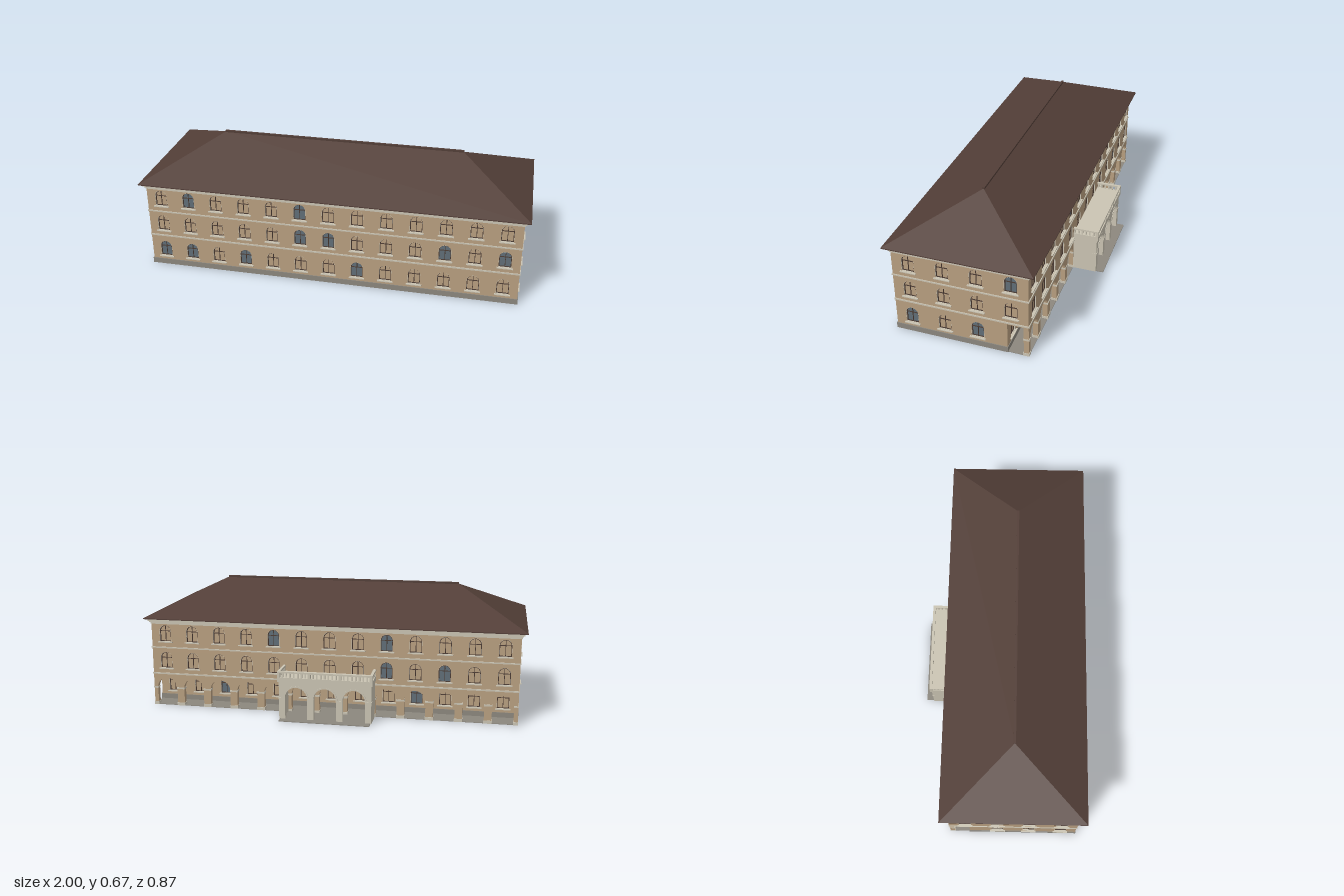
import * as THREE from 'three';
import { ConvexGeometry } from 'three/addons/geometries/ConvexGeometry.js';

const mat = (name, color, side = THREE.FrontSide) => {
  const m = new THREE.MeshStandardMaterial({ color, side });
  m.name = name;
  return m;
};
const M = {
  wall: mat('tan render', 0xb89f80, THREE.DoubleSide),
  stone: mat('pale stone', 0xcac4b3, THREE.DoubleSide),
  plinth: mat('grey stone', 0x8c877e),
  roof: mat('brown roof', 0x523e37),
  frame: mat('dark frame', 0x4b3b33, THREE.DoubleSide),
  glass: mat('blue glass', 0x606e77, THREE.DoubleSide),
};

// Main dimensions
const HX = 0.97, ZF = 0.402, ZB = -0.27, ZI = -0.165, TOP = 0.465, CEIL = 0.165;
const BAY = 0.149, BAYS = 13, ROWS = [0.05, 0.207, 0.353];
const WIN_R = 0.032, WIN_SPRING = 0.057;
const bayX = Array.from({ length: BAYS }, (_, i) => (i - 6) * BAY);

function add(parent, name, geo, material) {
  const mesh = new THREE.Mesh(geo, material);
  mesh.name = name;
  parent.add(mesh);
  return mesh;
}
// Box given by its lower and upper limits on each axis
function box(parent, name, material, x0, x1, y0, y1, z0, z1) {
  const m = add(parent, name, new THREE.BoxGeometry(x1 - x0, y1 - y0, z1 - z0), material);
  m.position.set((x0 + x1) / 2, (y0 + y1) / 2, (z0 + z1) / 2);
  return m;
}
function group(parent, name) {
  const g = new THREE.Group();
  g.name = name;
  parent.add(g);
  return g;
}
// Round-headed opening standing on (x, y)
function archTo(p, x, y, r, spring) {
  p.moveTo(x - r, y);
  p.lineTo(x + r, y);
  p.lineTo(x + r, y + spring);
  p.absarc(x, y + spring, r, 0, Math.PI, false);
  p.lineTo(x - r, y);
  return p;
}
function extrude(shape, depth, front = 0) {
  return new THREE.ExtrudeGeometry(shape, { depth, bevelEnabled: false, curveSegments: 10 })
    .translate(0, 0, front - depth);
}
function archRing(outer, inner, spring, depth, front) {
  const s = archTo(new THREE.Shape(), 0, 0, outer, spring);
  s.holes.push(archTo(new THREE.Path(), 0, outer - inner, inner, spring - outer + inner));
  return extrude(s, depth, front);
}
// Wall outline whose bottom edge is cut by open arches
function arcadeShape(half, height, centres, r, spring) {
  const s = new THREE.Shape();
  s.moveTo(-half, 0);
  for (const x of centres) {
    s.lineTo(x - r, 0);
    s.lineTo(x - r, spring);
    s.absarc(x, spring, r, Math.PI, 0, true);
    s.lineTo(x + r, 0);
  }
  s.lineTo(half, 0);
  s.lineTo(half, height);
  s.lineTo(-half, height);
  return s;
}

// Shared window parts
const paneGeo = new THREE.ShapeGeometry(archTo(new THREE.Shape(), 0, 0, WIN_R, WIN_SPRING), 10);
const liningGeo = archRing(WIN_R, WIN_R - 0.001, WIN_SPRING, 0.012, -0.0005);
const frameGeo = archRing(WIN_R - 0.0005, WIN_R - 0.0045, WIN_SPRING, 0.004, -0.006);

function addWindow(parent, x, y, glazed) {
  const w = group(parent, 'window');
  w.position.set(x, y, 0);
  add(w, 'pane', paneGeo, glazed ? M.glass : M.wall).position.z = -0.011;
  add(w, 'reveal', liningGeo, M.stone);
  add(w, 'frame', frameGeo, M.frame);
  box(w, 'mullion', M.frame, -0.0015, 0.0015, 0, WIN_SPRING + WIN_R - 0.002, -0.01, -0.006);
  box(w, 'transom', M.frame, -WIN_R, WIN_R, WIN_SPRING - 0.0015, WIN_SPRING + 0.0015, -0.01, -0.006);
  box(w, 'sill', M.stone, -0.04, 0.04, -0.005, 0, -0.01, 0.009);
}

// Wall with recessed windows; windows are [x, row, glazed]
function facade(parent, name, shape, windows, depth = 0.015) {
  const g = group(parent, name);
  for (const [x, row] of windows) {
    shape.holes.push(archTo(new THREE.Path(), x, ROWS[row], WIN_R, WIN_SPRING));
  }
  add(g, 'wall', extrude(shape, depth), M.wall);
  for (const w of windows) addWindow(g, w[0], ROWS[w[1]], w[2]);
  return g;
}
const rowOf = (xs, row, glazed = []) => xs.map((x, i) => [x, row, glazed.includes(i)]);

// Moulding running around all four sides
function course(parent, name, y0, y1, out, material = M.stone) {
  const g = group(parent, name), x = HX + out, t = out + 0.01;
  box(g, 'front length', material, -x, x, y0, y1, ZF - 0.01, ZF + out);
  box(g, 'back length', material, -x, x, y0, y1, ZB - out, ZB + 0.01);
  for (const s of [-1, 1]) {
    box(g, 'side length', material, s * (x - t / 2) - t / 2, s * (x - t / 2) + t / 2, y0, y1, ZB - out, ZF + out);
  }
}

function addPorch(parent) {
  const g = group(parent, 'porch');
  const X = 0.24, Z = -0.395, H = 0.2, xs = [-0.15, 0, 0.15], r = 0.058, spring = 0.115;
  const front = group(g, 'porchFront');
  front.position.z = Z;
  front.rotation.y = Math.PI;
  add(front, 'archedWall', extrude(arcadeShape(X, H, xs, r, spring), 0.022), M.stone);
  for (const x of xs) {
    const s = new THREE.Shape();
    s.absarc(0, 0, r + 0.008, 0, Math.PI, false);
    s.absarc(0, 0, r, Math.PI, 0, true);
    add(front, 'archMoulding', extrude(s, 0.003, 0.0025), M.stone).position.set(x, spring, 0);
  }
  for (const x of [-0.225, -0.075, 0.075, 0.225]) {
    box(front, 'impost', M.stone, x - 0.017, x + 0.017, spring - 0.007, spring, -0.023, 0.003);
  }
  for (const s of [-1, 1]) {
    box(g, 'porchSide', M.stone, s * 0.231 - 0.009, s * 0.231 + 0.009, 0, H, Z, ZB);
  }
  box(g, 'porchDeck', M.stone, -0.246, 0.246, H, 0.225, -0.403, ZB);
  box(g, 'porchStep', M.plinth, -0.235, 0.235, 0, 0.004, -0.435, ZB);

  // Balustrade on three sides
  const b = group(g, 'balustrade'), y0 = 0.225, y1 = 0.248, top = 0.257;
  const post = (x, z, h) => box(b, 'baluster', M.stone, x - h, x + h, y0, y1, z - h, z + h);
  box(b, 'frontRail', M.stone, -0.246, 0.246, y1, top, -0.403, -0.389);
  for (let i = 0; i <= 24; i++) post(-0.239 + i * 0.478 / 24, -0.396, i % 8 ? 0.0035 : 0.007);
  for (const s of [-1, 1]) {
    box(b, 'sideRail', M.stone, s * 0.239 - 0.007, s * 0.239 + 0.007, y1, top, -0.403, ZB);
    for (let i = 1; i <= 6; i++) post(s * 0.239, -0.396 + i * 0.02, 0.0035);
  }
}

export function createModel() {
  const model = new THREE.Group();
  model.name = 'arcadedBuilding';

  // Front wall
  const rect = (h) => arcadeShape(HX, h, [], 0, 0);
  const front = facade(model, 'frontFacade', rect(TOP), [
    ...rowOf(bayX, 0, [0, 1, 3, 7]), ...rowOf(bayX, 1, [5, 6, 10, 12]), ...rowOf(bayX, 2, [1, 5])]);
  front.position.z = ZF;

  // Back wall over the arcade, and the wall sheltered behind it
  const back = facade(model, 'backFacade', arcadeShape(HX, TOP, bayX, 0.055, 0.097), [
    ...rowOf(bayX, 1, [8, 10]), ...rowOf(bayX, 2, [4, 8])], 0.025);
  back.position.z = ZB;
  back.rotation.y = Math.PI;
  const inner = facade(model, 'arcadeInnerWall', rect(CEIL), rowOf(bayX, 0, [2, 9]));
  inner.position.z = ZI;
  inner.rotation.y = Math.PI;

  // End walls, stepped over the arcade passage
  for (const s of [1, -1]) {
    const pts = [[ZF, 0], [ZI, 0], [ZI, CEIL], [ZB, CEIL], [ZB, TOP], [ZF, TOP]];
    const shape = new THREE.Shape(pts.map(([z, y]) => new THREE.Vector2(-s * z, y)));
    const xs = [0.32, 0.15, -0.017, -0.185].map((z) => -s * z);
    const end = facade(model, s > 0 ? 'leftEnd' : 'rightEnd', shape, [
      ...rowOf(xs.slice(0, 3), 0, s > 0 ? [0, 2] : []), ...rowOf(xs, 1), ...rowOf(xs, 2, s > 0 ? [3] : [])]);
    end.position.x = s * HX;
    end.rotation.y = s * Math.PI / 2;
    box(model, 'endPlinth', M.plinth, s * HX - 0.004, s * HX + 0.004, 0, 0.03, ZI - 0.003, ZF + 0.004);
  }
  box(model, 'frontPlinth', M.plinth, -HX, HX, 0, 0.03, ZF - 0.004, ZF + 0.004);
  box(model, 'innerPlinth', M.plinth, -HX, HX, 0, 0.03, ZI - 0.003, ZI + 0.004);

  // Arcade floor, ceiling, pier bases and imposts
  box(model, 'arcadeFloor', M.plinth, -HX, HX, 0, 0.003, ZB, ZI);
  box(model, 'arcadeCeiling', M.wall, -HX + 0.002, HX - 0.002, CEIL, CEIL + 0.004, ZB + 0.02, ZI + 0.015);
  for (let i = 0; i <= BAYS; i++) {
    const x0 = i === 0 ? -HX - 0.002 : (i - 6.5) * BAY - 0.0215;
    const x1 = i === BAYS ? HX + 0.002 : (i - 6.5) * BAY + 0.0215;
    box(model, 'pierImpost', M.stone, x0, x1, 0.092, 0.101, ZB - 0.003, ZB + 0.028);
    box(model, 'pierBase', M.stone, x0, x1, 0, 0.016, ZB - 0.003, ZB + 0.028);
  }

  // String courses and cornice
  course(model, 'lowerCourse', 0.172, 0.18, 0.004);
  course(model, 'upperCourse', 0.317, 0.324, 0.004);
  course(model, 'corniceBed', 0.449, 0.458, 0.004);
  course(model, 'corniceMiddle', 0.458, 0.466, 0.009);
  course(model, 'corniceTop', 0.466, 0.479, 0.015);

  // Hipped roof
  const pts = [];
  for (const x of [-1, 1]) {
    for (const z of [-0.304, 0.434]) {
      for (const y of [0.478, 0.483]) pts.push(new THREE.Vector3(x, y, z));
    }
    pts.push(new THREE.Vector3(x * 0.635, 0.66, 0.065));
  }
  add(model, 'roof', new ConvexGeometry(pts), M.roof);
  box(model, 'ridgeCap', M.roof, -0.637, 0.637, 0.655, 0.667, 0.059, 0.071);

  addPorch(model);
  return model;
}
